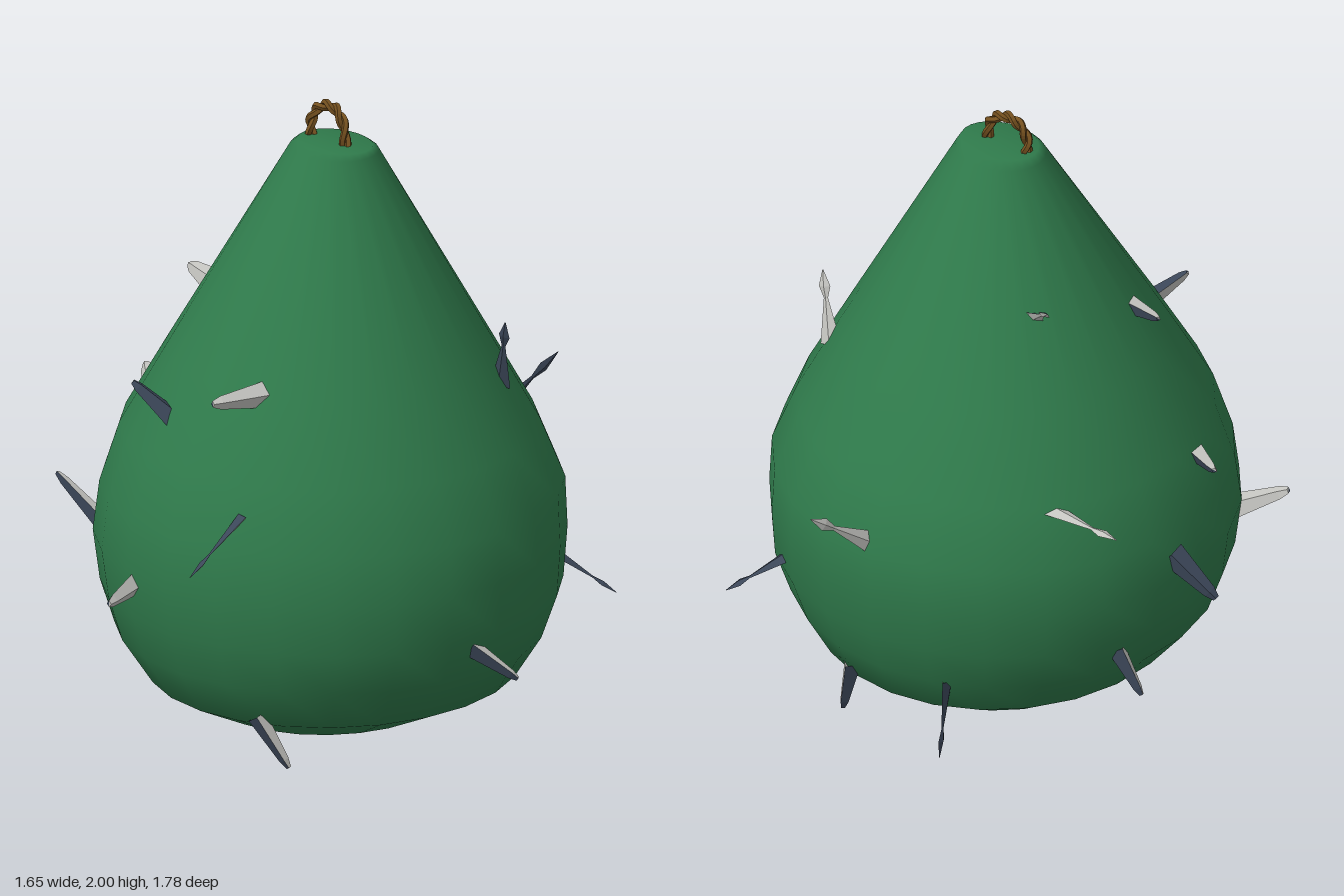
import * as THREE from 'three';
import { mergeVertices } from 'three/addons/utils/BufferGeometryUtils.js';

const mat = (name, color, extra = {}) => {
  const m = new THREE.MeshStandardMaterial({ color, ...extra });
  m.name = name;
  return m;
};

// Body cross-sections: y, min x, max x, min z, max z
const RINGS = [
  [0, 0.02, 0.02, 0, 0],
  [0.005, -0.12, 0.16, -0.18, 0.19],
  [0.045, -0.36, 0.35, -0.37, 0.39],
  [0.16, -0.53, 0.59, -0.56, 0.62],
  [0.3, -0.645, 0.685, -0.635, 0.7],
  [0.44, -0.695, 0.735, -0.68, 0.74],
  [0.6, -0.715, 0.738, -0.705, 0.76],
  [0.76, -0.698, 0.725, -0.7, 0.74],
  [0.95, -0.635, 0.65, -0.625, 0.675],
  [1.2, -0.492, 0.52, -0.48, 0.535],
  [1.85, -0.12, 0.175, -0.1, 0.15],
  [1.87, -0.095, 0.165, -0.07, 0.13],
  [1.87, 0.03, 0.03, 0.03, 0.03],
];

// Point on a ring for a direction (sin, cos) around the body
const ringPoint = ([y, x0, x1, z0, z1], sin, cos) => new THREE.Vector3(
  (x0 + x1) / 2 + sin * (x1 - x0) / 2, y, (z0 + z1) / 2 + cos * (z1 - z0) / 2);

// Point on the body at an angle (0 = front, positive towards +x) and height
function surfacePoint(angle, y) {
  const i = RINGS.findIndex((r) => r[0] > y);
  const [a, b] = [RINGS[i - 1], RINGS[i]]
    .map((r) => ringPoint(r, Math.sin(angle), Math.cos(angle)));
  return a.lerp(b, (y - a.y) / (b.y - a.y));
}

// Lopsided pear body: a lathe whose rings are moved to their own extents
function makeBody(material) {
  const geo = new THREE.LatheGeometry(RINGS.map((r) => new THREE.Vector2(1, r[0])), 24);
  geo.deleteAttribute('uv');
  geo.deleteAttribute('normal');
  const p = geo.attributes.position;
  for (let i = 0; i < p.count; i++) {
    const v = ringPoint(RINGS[i % RINGS.length], p.getX(i), p.getZ(i));
    p.setXYZ(i, v.x, v.y, v.z);
  }
  const merged = mergeVertices(geo, 1e-4);
  merged.computeVertexNormals();
  const mesh = new THREE.Mesh(merged, material);
  mesh.name = 'body';
  return mesh;
}

// Four-sided thorn from the body to its tip; `roll` turns its two pale faces
// around its axis, starting from upwards
function makeThorn([angle, height, x, y, z, roll], style, materials) {
  const b = surfacePoint(angle, height), t = new THREE.Vector3(x, y, z);
  const axis = t.clone().sub(b).normalize();
  b.addScaledVector(axis, -0.03);
  const pale = new THREE.Vector3(0, 1, 0);
  pale.addScaledVector(axis, -axis.y).normalize().applyAxisAngle(axis, roll);
  const side = new THREE.Vector3().crossVectors(axis, pale);
  const corner = (k, [at, size]) => {
    const a = k * Math.PI / 2;
    return b.clone().lerp(t, at)
      .addScaledVector(side, Math.cos(a) * style.width * size)
      .addScaledVector(pale, Math.sin(a) * style.depth * size);
  };
  const pts = [];
  for (let k = 0; k < 4; k++) {
    for (let i = 0; i < style.profile.length - 1; i++) {
      const lower = style.profile[i], upper = style.profile[i + 1];
      const p = corner(k, lower), q = corner(k + 1, lower);
      const r = corner(k + 1, upper), u = corner(k, upper);
      pts.push(p, q, r, p, r, u);
    }
  }
  const geo = new THREE.BufferGeometry().setFromPoints(pts);
  geo.computeVertexNormals();
  const half = pts.length / 2;
  geo.addGroup(0, half, 0);
  geo.addGroup(half, half, 1);
  const mesh = new THREE.Mesh(geo, materials);
  mesh.name = style.name;
  return mesh;
}

// Hanging loop of two twisted strands
function makeLoop(material) {
  const loop = new THREE.Group();
  loop.name = 'hangingLoop';
  const path = new THREE.CatmullRomCurve3([
    [-0.065, 1.85, 0.03], [-0.065, 1.92, 0.03], [-0.03, 1.97, 0.025],
    [0.02, 1.975, 0.02], [0.065, 1.935, 0.025], [0.085, 1.85, 0.035],
  ].map((p) => new THREE.Vector3(...p)));
  for (const phase of [0, Math.PI]) {
    const pts = [];
    for (let i = 0; i <= 24; i++) {
      const p = path.getPoint(i / 24), tan = path.getTangent(i / 24);
      const a = phase + i * 0.8;
      const side = new THREE.Vector3(-tan.y, tan.x, 0).normalize();
      p.addScaledVector(side, Math.cos(a) * 0.009);
      p.z += Math.sin(a) * 0.009;
      pts.push(p);
    }
    const tube = new THREE.TubeGeometry(new THREE.CatmullRomCurve3(pts), 36, 0.011, 5);
    const strand = new THREE.Mesh(tube, material);
    strand.name = 'strand';
    loop.add(strand);
  }
  return loop;
}

// Thorn styles; profile is position along the thorn and relative size
const BLUNT = {
  name: 'thorn', width: 0.042, depth: 0.03,
  profile: [[0, 1], [0.85, 0.5], [1, 0.25], [1, 0]],
};
const TWISTED = {
  name: 'twistedThorn', width: 0.036, depth: 0.014,
  profile: [[0, 1], [0.62, 0.2], [0.78, 0.55], [1, 0.04]],
};

// Thorns: angle and height on the body, tip x, y, z, roll
const BLUNT_THORNS = [
  [-1.26, 1.35, -0.49, 1.36, 0.13, -0.76],
  [-0.31, 1.08, -0.25, 1.17, 0.63, 2.74],
  [0.31, 1.2, 0.14, 1.21, 0.68, -1.36],
  [-1.4, 0.91, -0.755, 0.945, 0.05, -0.59],
  [-1.7, 0.66, -0.825, 0.55, -0.04, -2.09],
  [-1.02, 0.57, -0.775, 0.68, 0.42, 0.87],
  [-0.23, 0.555, -0.1, 0.55, 0.89, -1.56],
  [1.48, 0.385, 0.815, 0.31, 0.03, -0.67],
  [-1.98, 0.36, -0.685, 0.25, -0.24, -1.17],
  [0.4, 0.16, 0.33, 0.03, 0.54, -0.43],
  [2.86, 0.18, 0.21, 0.04, -0.56, 0.53],
];
const TWISTED_THORNS = [
  [-2.27, 1.46, -0.36, 1.55, -0.28, 2.53],
  [2.1, 1.14, 0.53, 1.34, -0.21, -0.81],
  [0.33, 0.84, 0.2, 0.7, 0.845, -2.79],
  [2.47, 0.47, 0.6, 0.36, -0.63, 3.14],
  [-2.8, 0.27, -0.2, 0.045, -0.63, 1.57],
  [3.11, 0.79, 0.1, 0.95, -0.89, -1.38],
  [-2.27, 0.93, -0.71, 0.92, -0.41, 0],
];

export function createModel() {
  const model = new THREE.Group();
  model.name = 'thornyOrnament';
  const green = mat('bodyGreen', 0x2f7a4b);
  const pale = mat('thornPale', 0xc6c6c2, { side: THREE.DoubleSide });
  const slate = mat('thornSlate', 0x3b4658, { side: THREE.DoubleSide });
  const brown = mat('ropeBrown', 0x74501f, { flatShading: true });

  model.add(makeBody(green), makeLoop(brown));
  for (const thorn of BLUNT_THORNS) model.add(makeThorn(thorn, BLUNT, [pale, slate]));
  for (const thorn of TWISTED_THORNS) model.add(makeThorn(thorn, TWISTED, [pale, slate]));
  return model;
}
